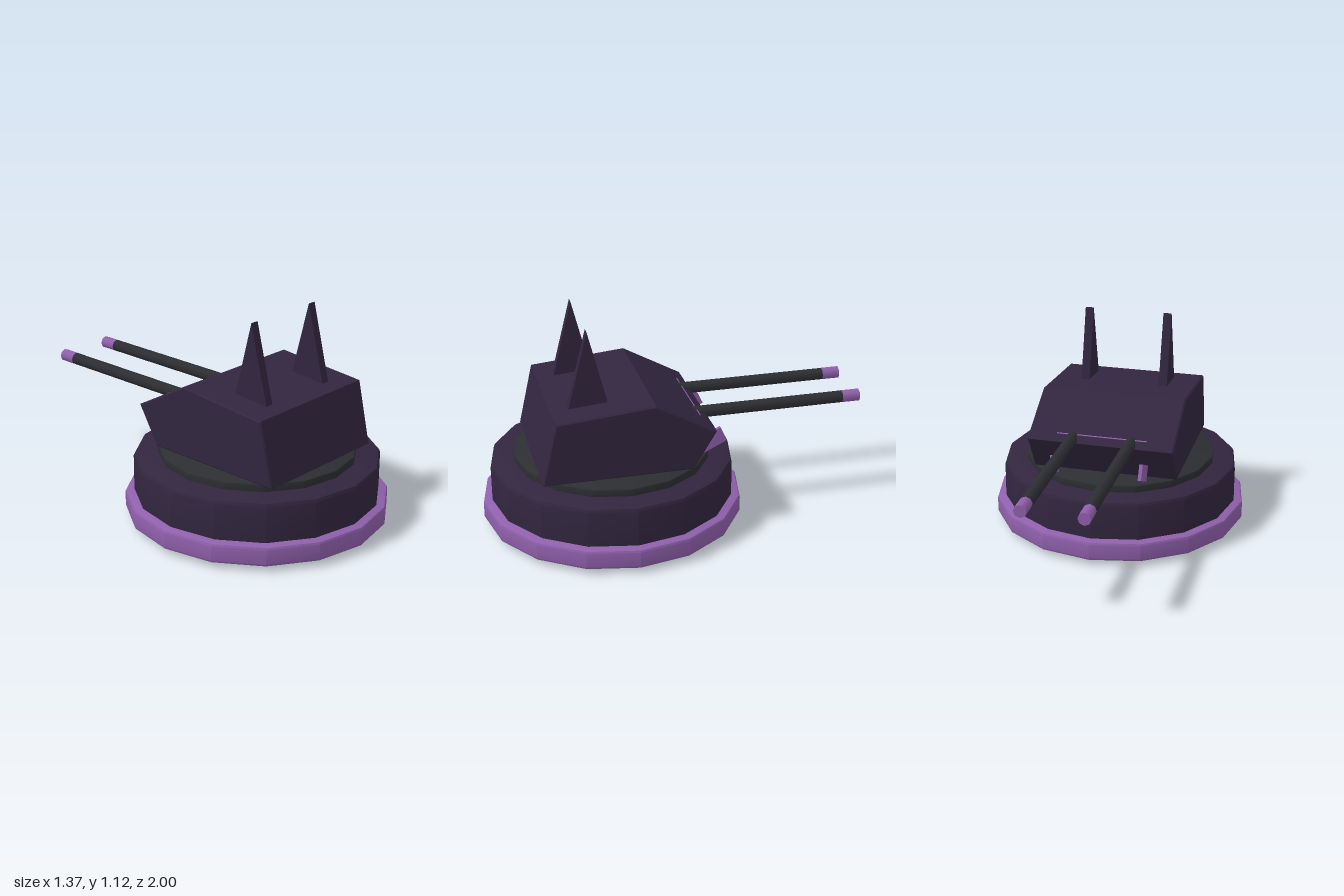
import * as THREE from 'three';
import { toCreasedNormals } from 'three/addons/utils/BufferGeometryUtils.js';

const material = (name, color) => {
  const m = new THREE.MeshStandardMaterial({ color });
  m.name = name;
  return m;
};

export function createModel() {
  const armor = material('dark purple armor', 0x32263f);
  const metal = material('gunmetal', 0x2c2e32);
  const accent = material('violet accent', 0x9060ac);
  const model = new THREE.Group();
  model.name = 'turret';
  const baseZ = 0.313;

  const add = (name, geometry, mat, x = 0, y = 0, z = 0) => {
    const mesh = new THREE.Mesh(geometry, mat);
    mesh.name = name;
    mesh.position.set(x, y, z);
    model.add(mesh);
    return mesh;
  };

  // Sixteen-sided disc with bevelled rims
  const disc = (r, y0, y1, b) => toCreasedNormals(new THREE.LatheGeometry([
    [0, y0], [r - b, y0], [r - b * 0.3, y0 + b * 0.3], [r, y0 + b],
    [r, y1 - b], [r - b * 0.3, y1 - b * 0.3], [r - b, y1], [0, y1],
  ].map(([x, y]) => new THREE.Vector2(x, y)), 16), 0.5);

  // Side outline given as [z, y], extruded across x
  const slab = (outline, width, bevel) => {
    const shape = new THREE.Shape(outline.map(([z, y]) => new THREE.Vector2(z, y)));
    const depth = width - 2 * bevel;
    const g = new THREE.ExtrudeGeometry(shape, {
      depth, bevelEnabled: bevel > 0, bevelThickness: bevel,
      bevelSize: bevel, bevelOffset: -bevel, bevelSegments: 1,
    });
    g.translate(0, 0, -depth / 2);
    return g.rotateY(-Math.PI / 2);
  };

  // Round base
  add('baseDrum', disc(0.64, 0, 0.345, 0.022), armor, 0, 0, baseZ);
  add('baseRing', disc(0.687, 0.028, 0.135, 0.015), accent, 0, 0, baseZ);
  add('turntable', disc(0.515, 0.335, 0.385, 0.006), metal, 0, 0, baseZ);

  // Wedge-shaped gun housing
  add('housing', slab([
    [0.74, 0.385], [0.665, 0.715], [0.16, 0.76], [-0.155, 0.585], [-0.035, 0.385],
  ], 0.78, 0.008), armor);

  // Thin light strip on the sloping rear face
  const strip = add('lightStrip', new THREE.BoxGeometry(0.48, 0.006, 0.006), accent, 0, 0.612, -0.105);
  strip.rotation.x = -0.507;

  for (const [side, s] of [['left', 1], ['right', -1]]) {
    // Upright pointed fins
    add(side + 'Fin', slab([[0.58, 0.7], [0.472, 1.125], [0.364, 0.7]], 0.045, 0), armor, s * 0.217);

    // Gun barrels with coloured muzzles
    const tube = (r, len) => new THREE.CylinderGeometry(r, r, len, 8).rotateX(Math.PI / 2);
    add(side + 'Barrel', tube(0.033, 0.855), metal, s * 0.155, 0.592, -0.4775);
    add(side + 'Muzzle', tube(0.0335, 0.095), accent, s * 0.155, 0.592, -0.9525);

    // Tilted plates under the guns
    const plate = add(side + 'Plate', new THREE.BoxGeometry(0.018, 0.085, 0.138), accent, s * 0.237, 0.465, -0.17);
    plate.rotation.x = 0.45;
  }
  return model;
}
